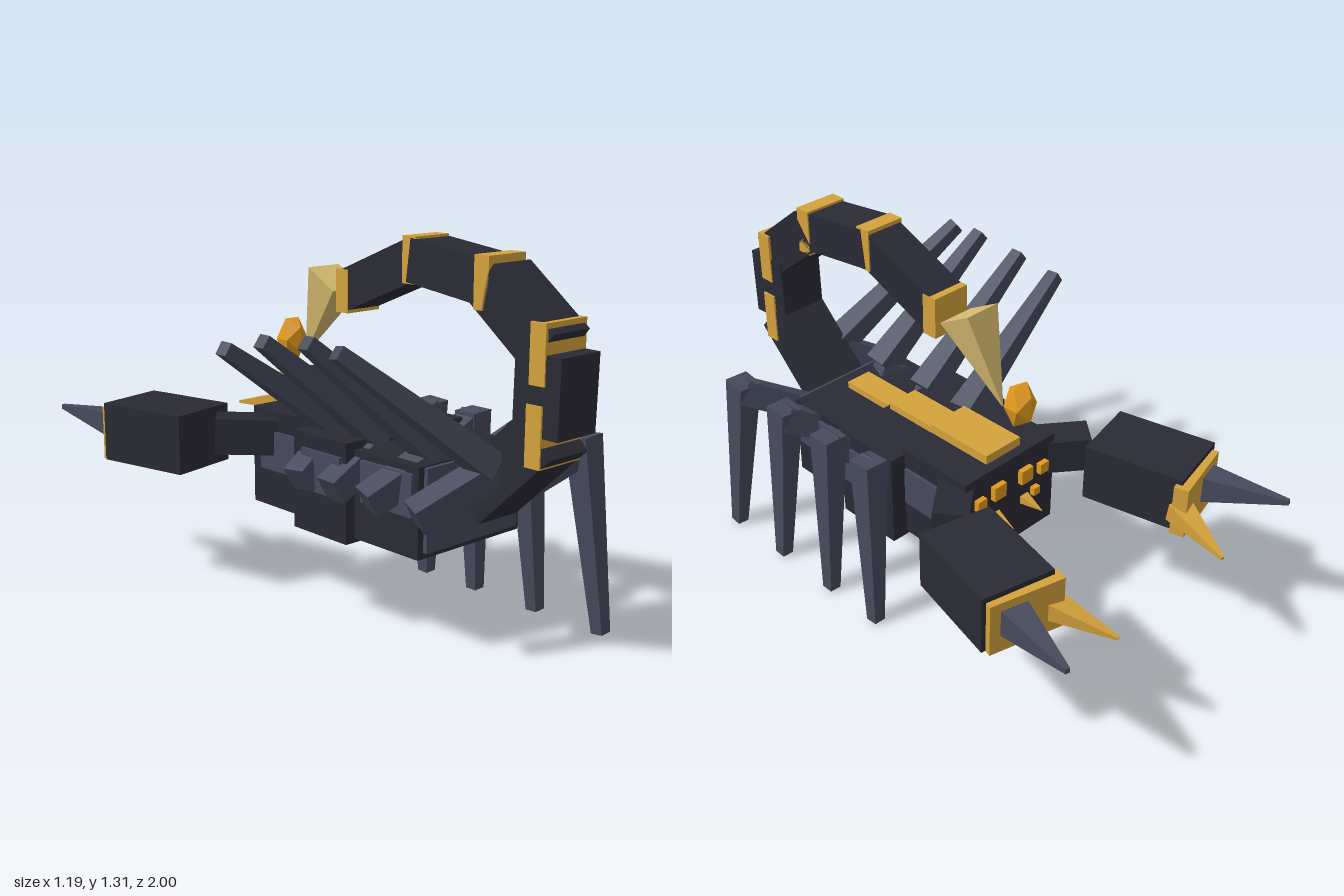
import * as THREE from 'three';

const paint = (color) => new THREE.MeshStandardMaterial({ color, flatShading: true });
const DARK = paint(0x2a2a35), GREY = paint(0x464a5c), GOLD = paint(0xd4a23c);
const PALE = paint(0xd8bc70), AMBER = paint(0xe39a1c);
const BODY_X = 0.042, TAIL_X = 0.021, CLAW_X = 0.035;
const X = new THREE.Vector3(1, 0, 0), Y = new THREE.Vector3(0, 1, 0), Z = new THREE.Vector3(0, 0, 1);

export function createModel() {
  const model = new THREE.Group();
  model.name = 'scorpion';

  function add(name, geometry, material, parent = model) {
    const mesh = new THREE.Mesh(geometry, material);
    mesh.name = name;
    parent.add(mesh);
    return mesh;
  }

  // Axis-aligned box given by its ranges
  function block(name, material, x0, x1, y0, y1, z0, z1, parent) {
    const mesh = add(name, new THREE.BoxGeometry(x1 - x0, y1 - y0, z1 - z0), material, parent);
    mesh.position.set((x0 + x1) / 2, (y0 + y1) / 2, (z0 + z1) / 2);
    return mesh;
  }

  // Square beam from a to b; depth runs along ref, width across it, end is the taper
  function beam(name, material, a, b, width, depth, end, ref, parent) {
    const p = new THREE.Vector3(...a), q = new THREE.Vector3(...b);
    const dir = q.clone().sub(p), length = dir.length();
    dir.normalize();
    const geometry = new THREE.CylinderGeometry(end * Math.SQRT1_2, Math.SQRT1_2, length, 4);
    geometry.rotateY(Math.PI / 4);
    geometry.scale(width, 1, depth);
    const across = dir.clone().cross(ref).normalize();
    const mesh = add(name, geometry, material, parent);
    mesh.quaternion.setFromRotationMatrix(
      new THREE.Matrix4().makeBasis(across, dir, across.clone().cross(dir)));
    mesh.position.copy(p).add(q).multiplyScalar(0.5);
    return mesh;
  }

  // Body segments with side plates: half width, bottom, top, z range
  const segments = [
    ['head', 0.212, 0.325, 0.672, -0.27, 0.03],
    ['thorax', 0.272, 0.31, 0.65, 0.02, 0.28],
    ['abdomen', 0.236, 0.325, 0.625, 0.27, 0.57],
  ];
  for (const [name, h, y0, y1, z0, z1] of segments) {
    block(name, DARK, BODY_X - h, BODY_X + h, y0, y1, z0, z1);
    for (const s of [-1, 1]) {
      const x = BODY_X + s * h;
      block(name + 'SidePlate', GREY, x - 0.012, x + 0.012, 0.46, 0.6, z0 + 0.05, z1 - 0.02);
    }
  }
  block('rearPlate', GREY, BODY_X - 0.212, BODY_X + 0.212, 0.345, 0.62, 0.55, 0.585);

  // Gold ridge along the back
  [[0.08, 0.67, 0.705, -0.235, 0.03], [0.06, 0.64, 0.675, 0.03, 0.26], [0.05, 0.61, 0.65, 0.27, 0.5]]
    .forEach(([h, y0, y1, z0, z1]) =>
      block('backRidge', GOLD, BODY_X - h, BODY_X + h, y0, y1, z0, z1));

  // Face: eyes and fangs
  for (const s of [-1, 1]) {
    for (const [x, y, r] of [[0.065, 0.58, 0.027], [0.15, 0.57, 0.02], [0.115, 0.49, 0.015]]) {
      const cx = BODY_X + s * x;
      block('eye', AMBER, cx - r, cx + r, y - r, y + r, -0.29, -0.26);
    }
    const fx = BODY_X + s * 0.07;
    beam('fang', GOLD, [fx, 0.475, -0.26], [fx, 0.465, -0.355], 0.04, 0.035, 0.05, Y);
  }

  // Pincers
  for (const s of [-1, 1]) {
    const claw = new THREE.Group();
    claw.name = s > 0 ? 'leftPincer' : 'rightPincer';
    model.add(claw);
    const at = (x, y, z) => [CLAW_X + s * x, y, z];
    beam('arm', DARK, at(0.105, 0.575, -0.13), at(0.335, 0.585, -0.32), 0.12, 0.125, 1, Y, claw);
    beam('palm', DARK, at(0.356, 0.56, -0.362), at(0.435, 0.56, -0.71), 0.258, 0.208, 1, Y, claw);
    beam('palmPlate', GOLD, at(0.412, 0.55, -0.69), at(0.425, 0.55, -0.74), 0.262, 0.19, 1, Y, claw);
    beam('outerFinger', GREY, at(0.465, 0.565, -0.71), at(0.543, 0.595, -1.0), 0.1, 0.1, 0.16, Y, claw);
    beam('innerFinger', GOLD, at(0.325, 0.535, -0.72), at(0.259, 0.498, -0.955), 0.085, 0.07, 0.14, Y, claw);
  }

  // Legs: left ones reach the ground, right ones are raised
  // hip z, knee z, left foot z, right tip x, y, z
  const legs = [
    [0.64, 0.75, 0.835, -0.55, 1.03, 0.59],
    [0.43, 0.51, 0.555, -0.55, 1.04, 0.46],
    [0.26, 0.272, 0.275, -0.56, 1.02, 0.27],
    [0.1, 0.065, 0.03, -0.585, 0.98, 0.115],
  ];
  for (const [hip, knee, foot, tx, ty, tz] of legs) {
    beam('leftUpperLeg', GREY, [0.155, 0.5, hip], [0.385, 0.63, knee], 0.09, 0.085, 1, Z);
    beam('leftLowerLeg', GREY, [0.375, 0.665, knee], [0.405, 0, foot], 0.09, 0.09, 0.5, Z);
    beam('rightUpperLeg', GREY, [-0.28, 0.5, hip], [-0.06, 0.63, knee], 0.09, 0.085, 1, Z);
    beam('rightLowerLeg', GREY, [-0.075, 0.645, knee], [tx, ty, tz], 0.09, 0.09, 0.5, Z);
  }

  // Tail: joint z, y, thickness and width of the segment, height of the band at its end
  const joints = [
    [0.645, 0.51],
    [0.91, 0.765, 0.17, 0.18, 0.19],
    [0.915, 1.01, 0.17, 0.176, 0.185],
    [0.685, 1.19, 0.155, 0.165, 0.165],
    [0.375, 1.23, 0.14, 0.155, 0.15],
    [0.06, 1.1, 0.135, 0.14, 0.145],
  ];
  for (let i = 1; i < joints.length; i++) {
    const [z0, y0] = joints[i - 1], [z1, y1, thick, width, band] = joints[i];
    beam('tailSegment', DARK, [TAIL_X, y0, z0], [TAIL_X, y1, z1], thick, width, 1, X);
    const h = band / 2;
    block('tailBand', GOLD, TAIL_X - h, TAIL_X + h, y1 - h, y1 + h, z1 - 0.029, z1 + 0.029);
  }
  beam('stinger', PALE, [TAIL_X, 1.128, -0.05], [TAIL_X, 0.845, -0.207], 0.143, 0.137, 0.03, X);

  // Faceted drop below the stinger
  const drop = add('venomDrop', new THREE.IcosahedronGeometry(0.056), AMBER);
  drop.scale.y = 1.55;
  drop.position.set(TAIL_X, 0.887, -0.285);

  return model;
}
